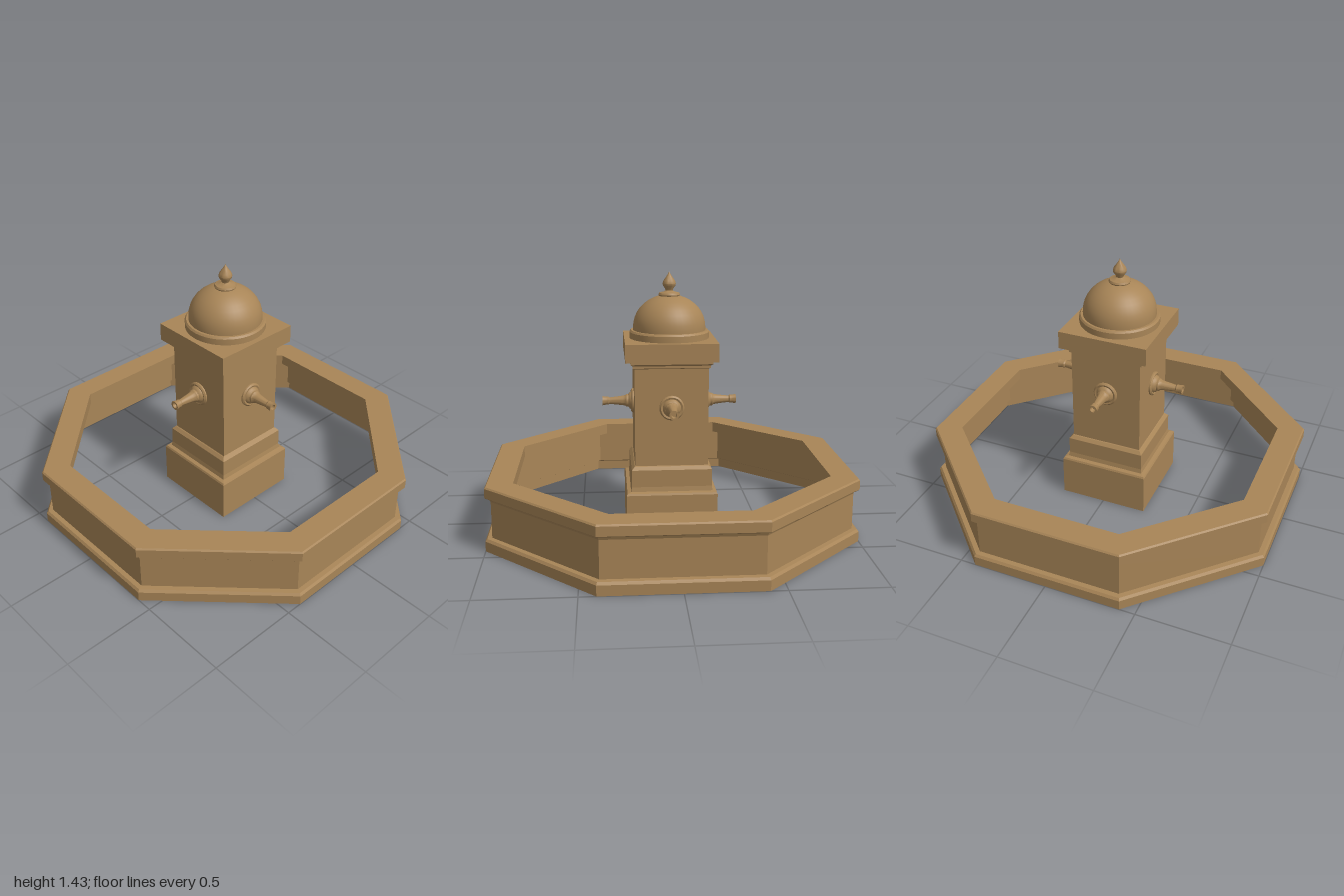
import * as THREE from 'three';
import { toCreasedNormals } from 'three/addons/utils/BufferGeometryUtils.js';

const stone = new THREE.MeshStandardMaterial({ color: 0xa88557, side: THREE.DoubleSide });
stone.name = 'sandstone';

const toPoints = (profile, scale = 1) => profile.map(([r, y]) => new THREE.Vector2(r * scale, y));

function part(name, geometry) {
  const mesh = new THREE.Mesh(geometry, stone);
  mesh.name = name;
  return mesh;
}

// Profile given as half widths, swept round a regular polygon with flat sides
function polygonSweep(name, profile, sides) {
  const half = Math.PI / sides;
  const geo = new THREE.LatheGeometry(toPoints(profile, 1 / Math.cos(half)), sides, half).toNonIndexed();
  geo.computeVertexNormals();
  return part(name, geo);
}

// Round turned part with crisp moulding edges
function turned(name, profile, segments = 32) {
  return part(name, toCreasedNormals(new THREE.LatheGeometry(toPoints(profile), segments), 0.6));
}

export function createModel() {
  const model = new THREE.Group();
  model.name = 'fountain';

  // Octagonal basin: open shell with plinth, wall and overhanging rim
  model.add(polygonSweep('basin', [
    [1, 0], [1, 0.055], [0.99, 0.068], [0.965, 0.07], [0.965, 0.268], [0.972, 0.285], [0.99, 0.29],
    [0.995, 0.295], [0.995, 0.345], [0.988, 0.353], [0.85, 0.353], [0.85, 0.29], [0.96, 0.285],
  ], 8));

  // Square pedestal, hollow from below, with its cap block
  model.add(polygonSweep('pedestal', [
    [0.25, 0], [0.25, 0.23], [0.245, 0.24], [0.225, 0.245], [0.22, 0.27], [0.22, 0.365],
    [0.205, 0.382], [0.2, 0.385], [0.2, 0.925],
  ], 4));
  model.add(polygonSweep('capBlock', [
    [0.2, 0.925], [0.21, 0.93], [0.21, 0.942], [0.222, 0.952], [0.222, 0.966],
    [0.25, 0.966], [0.25, 1.066], [0, 1.066],
  ], 4));

  // Round drum under the dome
  model.add(turned('drum', [
    [0.22, 1.066], [0.22, 1.1], [0.212, 1.11], [0.19, 1.11],
  ], 40));

  // Dome
  const dome = [[0.2, 1.108]];
  for (let i = 0; i <= 10; i++) {
    const a = (i / 10) * Math.PI / 2;
    dome.push([0.2 * Math.cos(a), 1.125 + 0.178 * Math.sin(a)]);
  }
  model.add(turned('dome', dome, 40));

  // Finial
  model.add(turned('finial', [
    [0.055, 1.29], [0.06, 1.302], [0.055, 1.312], [0.03, 1.318], [0.02, 1.325], [0.023, 1.335],
    [0.034, 1.35], [0.037, 1.362], [0.032, 1.378], [0.016, 1.4], [0.006, 1.416], [0, 1.427],
  ], 24));

  // Four water spouts, each with a round rosette
  for (let i = 0; i < 4; i++) {
    const spout = new THREE.Group();
    spout.name = 'spout' + (i + 1);
    spout.add(turned('rosette', [
      [0.068, 0.198], [0.068, 0.208], [0.06, 0.215], [0.05, 0.212], [0.046, 0.222], [0.036, 0.23], [0, 0.23],
    ], 24));
    spout.add(turned('nozzle', [
      [0.036, 0.225], [0.036, 0.24], [0.03, 0.248], [0.027, 0.26], [0.018, 0.335], [0.023, 0.342],
      [0.022, 0.352], [0.026, 0.375], [0.015, 0.375], [0.012, 0.35], [0, 0.35],
    ], 20));
    spout.position.y = 0.71;
    spout.rotation.set(Math.PI / 2, 0, 0);
    spout.rotation.order = 'YXZ';
    spout.rotation.y = i * Math.PI / 2;
    model.add(spout);
  }
  return model;
}
